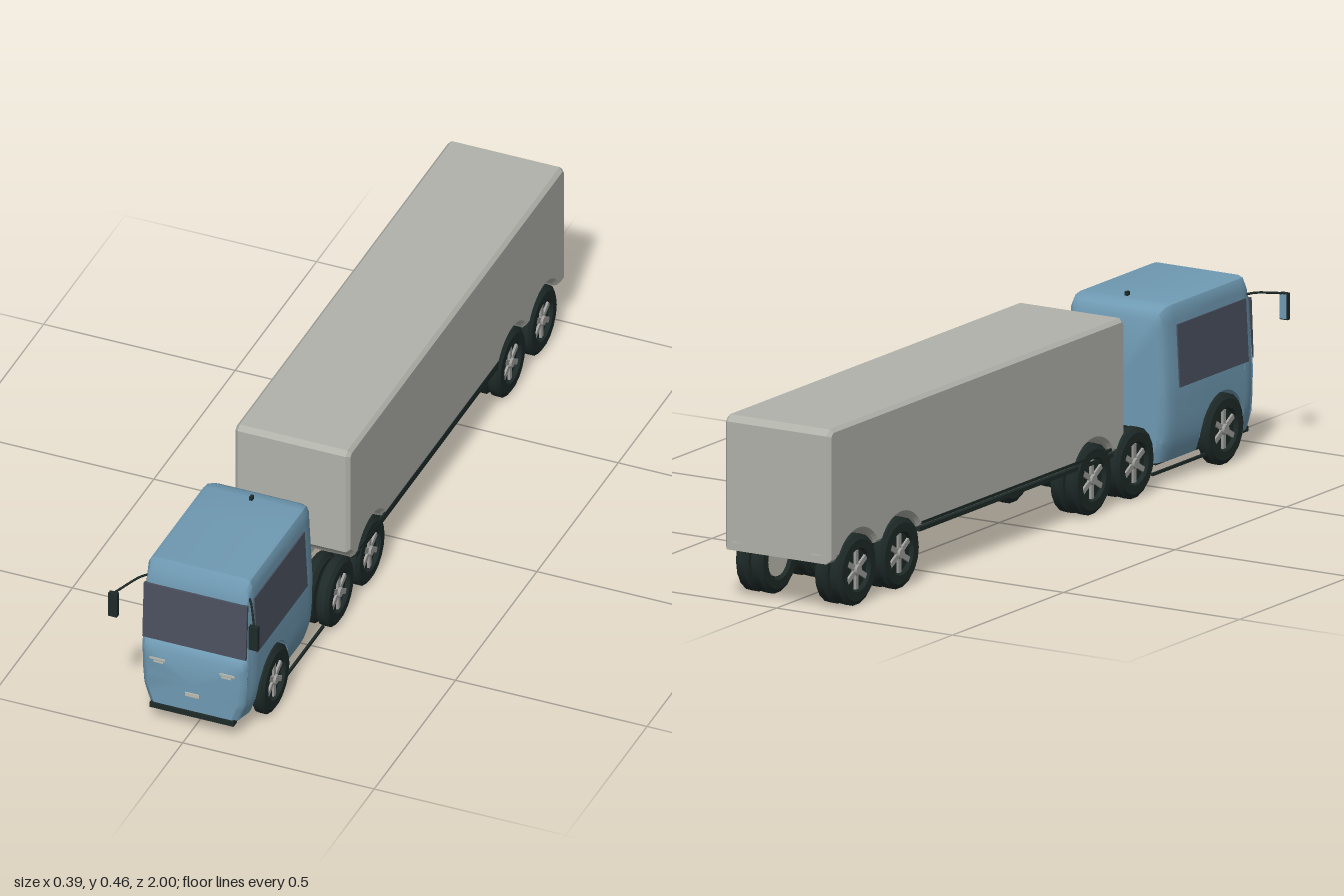
import * as THREE from 'three';
import { toCreasedNormals } from 'three/addons/utils/BufferGeometryUtils.js';

const mat = (name, color) => Object.assign(new THREE.MeshStandardMaterial({ color }), { name });

export function createModel() {
  const blue = mat('cab blue', 0x6f9ab3);
  const grey = mat('trailer grey', 0xb0b2aa);
  const glass = mat('dark glass', 0x4a505e);
  const black = mat('rubber black', 0x1e2a28);
  const metal = mat('rim metal', 0x9c9c9a);
  const pale = mat('pale lamp', 0xbdbcb0);

  const root = new THREE.Group();
  root.name = 'truck';
  const add = (name, geo, material, parent = root) => {
    const m = new THREE.Mesh(geo, material);
    m.name = name;
    parent.add(m);
    return m;
  };
  // Box given by its x, y and z ranges
  const box = (name, [x0, x1], [y0, y1], [z0, z1], material, parent) => {
    const m = add(name, new THREE.BoxGeometry(x1 - x0, y1 - y0, z1 - z0), material, parent);
    m.position.set((x0 + x1) / 2, (y0 + y1) / 2, (z0 + z1) / 2);
    return m;
  };

  const ARCH = 0.095, AXLE = 0.091;

  // Cab: cross-sections lofted from back to front, lifted over the wheel arch
  const widths = [[0.04, 0.12], [0.06, 0.127], [0.1, 0.14], [0.15, 0.144], [0.23, 0.145], [0.385, 0.137], [0.45, 0.134]];
  const halfWidth = (y) => {
    let i = 0;
    while (i < widths.length - 2 && y > widths[i + 1][0]) i++;
    const [a, b] = [widths[i], widths[i + 1]];
    return a[1] + (b[1] - a[1]) * (y - a[0]) / (b[0] - a[0]);
  };
  const floor = 0.055, roof = 0.445, frontAxle = 0.78;
  // Each station: z, bottom, top, side inset
  const stations = [
    [0.515, floor, 0.41, 0.02], [0.525, floor, 0.43, 0.008], [0.545, floor, 0.442, 0.002],
    [0.57, floor, roof, 0], [frontAxle - ARCH, floor, roof, 0],
  ];
  for (let k = 0; k <= 14; k++) {
    const a = Math.PI * (1 - k / 14);
    stations.push([frontAxle + ARCH * Math.cos(a), AXLE + ARCH * Math.sin(a), roof, 0]);
  }
  stations.push([frontAxle + ARCH, floor, roof, 0], [0.89, floor, roof, 0], [0.905, floor, 0.425, 0.004],
    [0.915, floor, 0.39, 0.007], [0.924, floor, 0.235, 0.008], [0.932, floor, 0.228, 0.013], [0.94, floor, 0.212, 0.025]);

  const section = ([z, b, t, inset]) => {
    const right = [];
    for (let k = 0; k <= 14; k++) {
      const y = b + (t - 0.018 - b) * k / 14;
      right.push([halfWidth(y) - inset, y]);
    }
    const w = halfWidth(t) - inset;
    right.push([w - 0.005, t - 0.005], [w - 0.018, t]);
    const left = right.map(([x, y]) => [-x, y]).reverse();
    return [...right, ...left].map(([x, y]) => [x, y, z]);
  };
  const loops = stations.map(section);
  const n = loops[0].length, last = loops.length - 1;
  const pos = loops.flat(2), idx = [];
  for (let i = 0; i < last; i++) {
    for (let j = 0; j < n; j++) {
      const a = i * n + j, b = i * n + (j + 1) % n;
      idx.push(a, b, b + n, a, b + n, a + n);
    }
  }
  const centre = loops.length * n;
  for (const s of [stations[0], stations[last]]) pos.push(0, (s[1] + s[2]) / 2, s[0]);
  for (let j = 0; j < n; j++) {
    const k = (j + 1) % n;
    idx.push(centre, k, j, centre + 1, last * n + j, last * n + k);
  }
  const cabGeo = new THREE.BufferGeometry();
  cabGeo.setAttribute('position', new THREE.Float32BufferAttribute(pos, 3));
  cabGeo.setIndex(idx);
  add('cab', toCreasedNormals(cabGeo, 0.6), blue);

  // Cab glass, lamps, plate, bumper, floor and antenna
  const screen = box('windscreen', [-0.135, 0.135], [0.234, 0.385], [0.918, 0.926], glass);
  screen.rotation.x = -0.06;
  box('bumper', [-0.11, 0.11], [0.045, 0.058], [0.925, 0.946], black);
  box('cabFloor', [-0.11, 0.11], [0.048, 0.054], [0.53, 0.925], black);
  box('floorBracket', [0.042, 0.05], [0.038, 0.05], [0.6, 0.625], black);
  box('numberPlate', [-0.018, 0.018], [0.1, 0.11], [0.936, 0.943], pale);
  box('antenna', [-0.004, 0.004], [0.44, 0.455], [0.57, 0.582], black);

  for (const s of [-1, 1]) {
    const span = (a, b) => (s > 0 ? [a, b] : [-b, -a]);
    const win = box('sideWindow', span(0.1385, 0.1445), [0.235, 0.39], [0.58, 0.888], glass);
    win.rotation.z = s * 0.0516;
    box('headlight', span(0.071, 0.111), [0.183, 0.189], [0.934, 0.942], pale);
    box('lowerLight', span(0.076, 0.101), [0.176, 0.18], [0.934, 0.942], pale);
    box('sideRod', span(0.137, 0.143), [0.039, 0.046], [0.465, 0.72], black);
    box('trailerRail', span(0.13, 0.148), [0.126, 0.136], [-0.59, 0.28], black);
    box('trailerStrip', span(0.147, 0.152), [0.144, 0.151], [-0.585, 0.268], black);
    box('tailLight', span(0.1, 0.125), [0.148, 0.153], [-1, -0.995], pale);
    // Mirror on a bent arm
    const arm = new THREE.CatmullRomCurve3([
      new THREE.Vector3(s * 0.132, 0.396, 0.9), new THREE.Vector3(s * 0.145, 0.398, 0.92),
      new THREE.Vector3(s * 0.182, 0.387, 0.99),
    ]);
    add('mirrorArm', new THREE.TubeGeometry(arm, 8, 0.003, 6), black);
    box('mirrorHousing', span(0.172, 0.195), [0.322, 0.388], [0.987, 1], black);
    box('mirrorGlass', span(0.174, 0.193), [0.325, 0.385], [0.984, 0.988], blue);
  }

  // Trailer: side profile with wheel arches, extruded across with chamfers
  const bottom = 0.138, a0 = Math.asin((bottom - AXLE) / ARCH);
  const profile = new THREE.Shape();
  profile.moveTo(-1, bottom - 0.008);
  profile.lineTo(-0.965, bottom - 0.008);
  profile.lineTo(-0.96, bottom);
  for (const z of [-0.868, -0.675, 0.19]) profile.absarc(z, AXLE, ARCH, Math.PI - a0, a0, true);
  profile.absarc(0.38, AXLE, ARCH, Math.PI - a0, Math.PI - Math.acos(0.05 / ARCH), true);
  profile.lineTo(0.33, 0.45);
  profile.lineTo(0.318, 0.462);
  profile.lineTo(-0.985, 0.462);
  profile.lineTo(-1, 0.447);
  profile.closePath();
  const bevel = 0.009, depth = 0.3 - 2 * bevel;
  const trailerGeo = new THREE.ExtrudeGeometry(profile, {
    depth, curveSegments: 10, bevelEnabled: true, bevelSegments: 1,
    bevelSize: bevel, bevelThickness: bevel, bevelOffset: -bevel,
  });
  trailerGeo.rotateY(-Math.PI / 2).translate(depth / 2, 0, 0);
  add('trailerBox', trailerGeo, grey);

  // Coupling between cab and trailer
  box('drawBeam', [-0.02, 0.02], [0.09, 0.105], [0.2, 0.48], grey);
  box('crossBar', [-0.11, 0.11], [0.085, 0.107], [0.475, 0.505], black);

  // Wheels: outward side along +y of the lathe
  const tyreGeo = new THREE.LatheGeometry([
    [0.05, -0.013], [0.054, -0.018], [0.076, -0.018], [0.088, -0.01],
    [0.088, 0.01], [0.076, 0.018], [0.054, 0.018], [0.05, 0.013], [0.05, -0.013],
  ].map(([r, y]) => new THREE.Vector2(r, y)), 18);
  const tyreCreased = toCreasedNormals(tyreGeo, 0.45);
  const discGeo = new THREE.CylinderGeometry(0.051, 0.051, 0.014, 18);
  const innerGeo = new THREE.CylinderGeometry(0.046, 0.046, 0.006, 18);
  const hubGeo = new THREE.CylinderGeometry(0.012, 0.016, 0.012, 10);
  const spokeGeo = new THREE.BoxGeometry(0.038, 0.006, 0.013);
  const wheel = (side, x, z, outer, inner) => {
    const g = new THREE.Group();
    g.name = 'wheel';
    add('tyre', tyreCreased, black, g);
    add('rimDisc', discGeo, black, g);
    if (inner) add('innerDish', innerGeo, pale, g).position.y = -0.008;
    if (outer) {
      add('hub', hubGeo, metal, g).position.y = 0.013;
      for (let k = 0; k < 6; k++) {
        const a = k * Math.PI / 3;
        const spoke = add('spoke', spokeGeo, metal, g);
        spoke.position.set(Math.cos(a) * 0.029, 0.01, -Math.sin(a) * 0.029);
        spoke.rotation.y = a;
      }
    }
    g.rotation.z = -side * Math.PI / 2;
    g.position.set(side * x, AXLE - 0.001, z);
    root.add(g);
  };
  for (const s of [-1, 1]) {
    wheel(s, 0.135, frontAxle, true, true);
    for (const z of [0.38, 0.19, -0.675, -0.868]) {
      wheel(s, 0.133, z, true, false);
      wheel(s, 0.091, z, false, true);
    }
  }
  return root;
}
